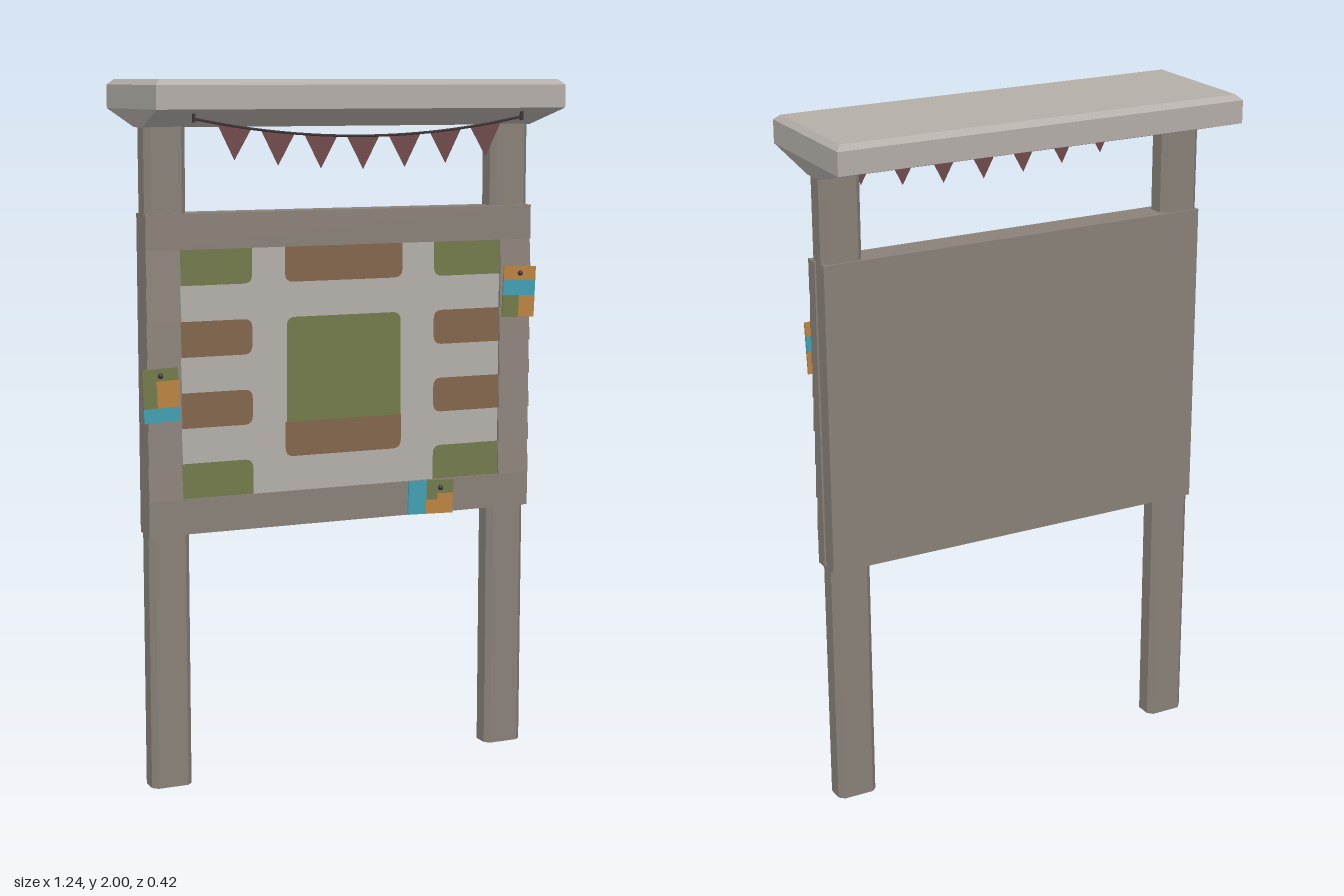
import * as THREE from 'three';

const mat = (name, color, opts = {}) => {
  const m = new THREE.MeshStandardMaterial({ color, ...opts });
  m.name = name;
  return m;
};

export function createModel() {
  const wood = mat('weathered wood', 0x8a8179);
  const stone = mat('pale roof', 0xb4aea9);
  const paper = mat('pale sheet', 0xb4b0ab);
  const green = mat('moss green', 0x737b4c);
  const brown = mat('earth brown', 0x83664c);
  const orange = mat('orange', 0xbb8440);
  const cyan = mat('teal blue', 0x42a0b2);
  const cloth = mat('maroon cloth', 0x704a4b, { side: THREE.DoubleSide });
  const dark = mat('dark cord', 0x3f3535);

  const model = new THREE.Group();
  model.name = 'noticeBoard';
  const add = (name, geo, material, parent = model) => {
    const mesh = new THREE.Mesh(geo, material);
    mesh.name = name;
    parent.add(mesh);
    return mesh;
  };
  // Box given by its limits
  const box = (name, x0, x1, y0, y1, z0, z1, m, parent) =>
    add(name, new THREE.BoxGeometry(x1 - x0, y1 - y0, z1 - z0), m, parent)
      .position.set((x0 + x1) / 2, (y0 + y1) / 2, (z0 + z1) / 2);

  // Posts with chamfered corners
  const w = 0.06, d = 0.038, c = 0.015;
  const section = new THREE.Shape([
    [-w + c, -d], [w - c, -d], [w, -d + c], [w, d - c],
    [w - c, d], [-w + c, d], [-w, d - c], [-w, -d + c],
  ].map(p => new THREE.Vector2(...p)));
  const postGeo = new THREE.ExtrudeGeometry(section, { depth: 1.9, bevelEnabled: false });
  postGeo.rotateX(-Math.PI / 2);
  for (const s of [-1, 1]) add(s > 0 ? 'leftPost' : 'rightPost', postGeo, wood).position.set(s * 0.535, 0, 0.003);

  // Roof: rectangular rings joined bottom to top
  const rings = [[0.6, 1.87, 0.035], [0.62, 1.92, 0.208], [0.62, 1.985, 0.208], [0.605, 2, 0.19]]
    .map(([x, y, z]) => [[-x, y, z], [x, y, z], [x, y, -z], [-x, y, -z]]);
  const pos = [];
  const quad = (a, b, e, f) => pos.push(...a, ...b, ...e, ...a, ...e, ...f);
  for (let i = 0; i < 3; i++) {
    for (let k = 0; k < 4; k++) {
      const n = (k + 1) % 4;
      quad(rings[i][k], rings[i][n], rings[i + 1][n], rings[i + 1][k]);
    }
  }
  quad(...rings[3]);
  quad(...[...rings[0]].reverse());
  const roofGeo = new THREE.BufferGeometry();
  roofGeo.setAttribute('position', new THREE.Float32BufferAttribute(pos, 3));
  roofGeo.computeVertexNormals();
  add('roof', roofGeo, stone);

  // Board backing and frame
  box('backing', -0.595, 0.595, 0.735, 1.635, -0.04, 0.039, wood);
  box('topRail', -0.6, 0.6, 1.535, 1.635, 0.01, 0.05, wood);
  box('bottomRail', -0.6, 0.6, 0.735, 0.835, 0.01, 0.05, wood);

  // Overlapping side boards, each leaning out at the bottom
  const lap = new THREE.Shape([[0.01, 0], [0.054, 0], [0.046, 0.1], [0.01, 0.1]]
    .map(p => new THREE.Vector2(...p)));
  const lapGeo = new THREE.ExtrudeGeometry(lap, { depth: 0.1, bevelEnabled: false });
  lapGeo.rotateY(-Math.PI / 2).translate(0.05, 0, 0);
  // The turn maps the profile's x to z and the depth to -x
  for (const s of [-1, 1]) {
    for (let i = 0; i < 7; i++) add('sideBoard', lapGeo, wood).position.set(s * 0.55, 0.835 + i * 0.1, 0);
  }

  // Sheet with painted patches; r lists the corner radii: bottom left, bottom right, top right, top left
  box('sheet', -0.5, 0.5, 0.835, 1.535, 0.03, 0.043, paper);
  const patch = (name, x0, x1, y0, y1, r, m) => {
    const sh = new THREE.Shape();
    sh.moveTo(x0 + r[0], y0);
    sh.lineTo(x1 - r[1], y0);
    sh.quadraticCurveTo(x1, y0, x1, y0 + r[1]);
    sh.lineTo(x1, y1 - r[2]);
    sh.quadraticCurveTo(x1, y1, x1 - r[2], y1);
    sh.lineTo(x0 + r[3], y1);
    sh.quadraticCurveTo(x0, y1, x0, y1 - r[3]);
    sh.lineTo(x0, y0 + r[0]);
    sh.quadraticCurveTo(x0, y0, x0 + r[0], y0);
    add(name, new THREE.ShapeGeometry(sh, 4), m).position.z = 0.0445;
  };
  const R = 0.025;
  patch('topPatch', -0.185, 0.183, 1.435, 1.535, [R, R, 0, 0], brown);
  patch('centrePatch', -0.18, 0.178, 1.035, 1.335, [0, 0, R, R], green);
  patch('centreBase', -0.185, 0.18, 0.935, 1.035, [R, R, 0, 0], brown);
  const rows = [[0.835, 0.935, 0, R, green], [1.035, 1.135, R, R, brown],
    [1.235, 1.335, R, R, brown], [1.435, 1.535, R, 0, green]];
  for (const [y0, y1, lo, hi, m] of rows) {
    patch('rightPatch', -0.5, -0.285, y0, y1, [0, lo, hi, 0], m);
    patch('leftPatch', 0.285, 0.5, y0, y1, [lo, 0, 0, hi], m);
  }

  // Pinned notes made of coloured plates, limits relative to the note centre
  const note = (name, x, y, tilt, plates, pin) => {
    const g = new THREE.Group();
    g.name = name;
    g.position.set(x, y, 0.053);
    g.rotation.z = tilt;
    for (const [x0, x1, y0, y1, m] of plates) box('notePlate', x0, x1, y0, y1, 0, 0.005, m, g);
    add('pin', new THREE.SphereGeometry(0.008, 10, 8), dark, g).position.set(pin[0], pin[1], 0.006);
    model.add(g);
  };
  note('leftNote', 0.56, 1.38, -0.04, [
    [-0.053, 0.053, 0.035, 0.075, orange],
    [-0.053, 0.053, -0.01, 0.035, cyan],
    [-0.053, 0, -0.075, -0.01, green],
    [0, 0.053, -0.075, -0.01, orange],
  ], [0, 0.055]);
  note('rightNote', -0.563, 1.135, 0.04, [
    [-0.053, 0.053, 0.04, 0.075, green],
    [-0.053, -0.012, -0.035, 0.04, green],
    [-0.012, 0.053, -0.035, 0.04, orange],
    [-0.053, 0.053, -0.075, -0.035, cyan],
  ], [0, 0.055]);
  note('lowerNote', 0.273, 0.784, -0.03, [
    [-0.073, -0.015, -0.05, 0.05, cyan],
    [-0.015, 0.073, 0.01, 0.05, green],
    [-0.015, 0.022, -0.008, 0.01, green],
    [0.022, 0.073, -0.008, 0.01, orange],
    [-0.015, 0.073, -0.05, -0.008, orange],
  ], [0.03, 0.027]);

  // Bunting: sagging cord, end pegs and seven pennants
  const sagY = x => 1.845 + 0.05 * (x / 0.5) ** 2;
  const cord = [];
  for (let i = -5; i <= 5; i++) cord.push(new THREE.Vector3(i * 0.1, sagY(i * 0.1), 0.168));
  add('cord', new THREE.TubeGeometry(new THREE.CatmullRomCurve3(cord), 30, 0.004, 6), dark);
  for (const s of [-1, 1]) box('cordPeg', s * 0.5 - 0.004, s * 0.5 + 0.004, 1.885, 1.925, 0.164, 0.172, dark);
  for (let i = -3; i <= 3; i++) {
    const x = i * 0.128, h = 0.05;
    const tri = new THREE.Shape();
    tri.moveTo(x - h, sagY(x - h));
    tri.lineTo(x, sagY(x) - 0.092);
    tri.lineTo(x + h, sagY(x + h));
    add('pennant', new THREE.ShapeGeometry(tri), cloth).position.z = 0.168;
  }
  return model;
}
